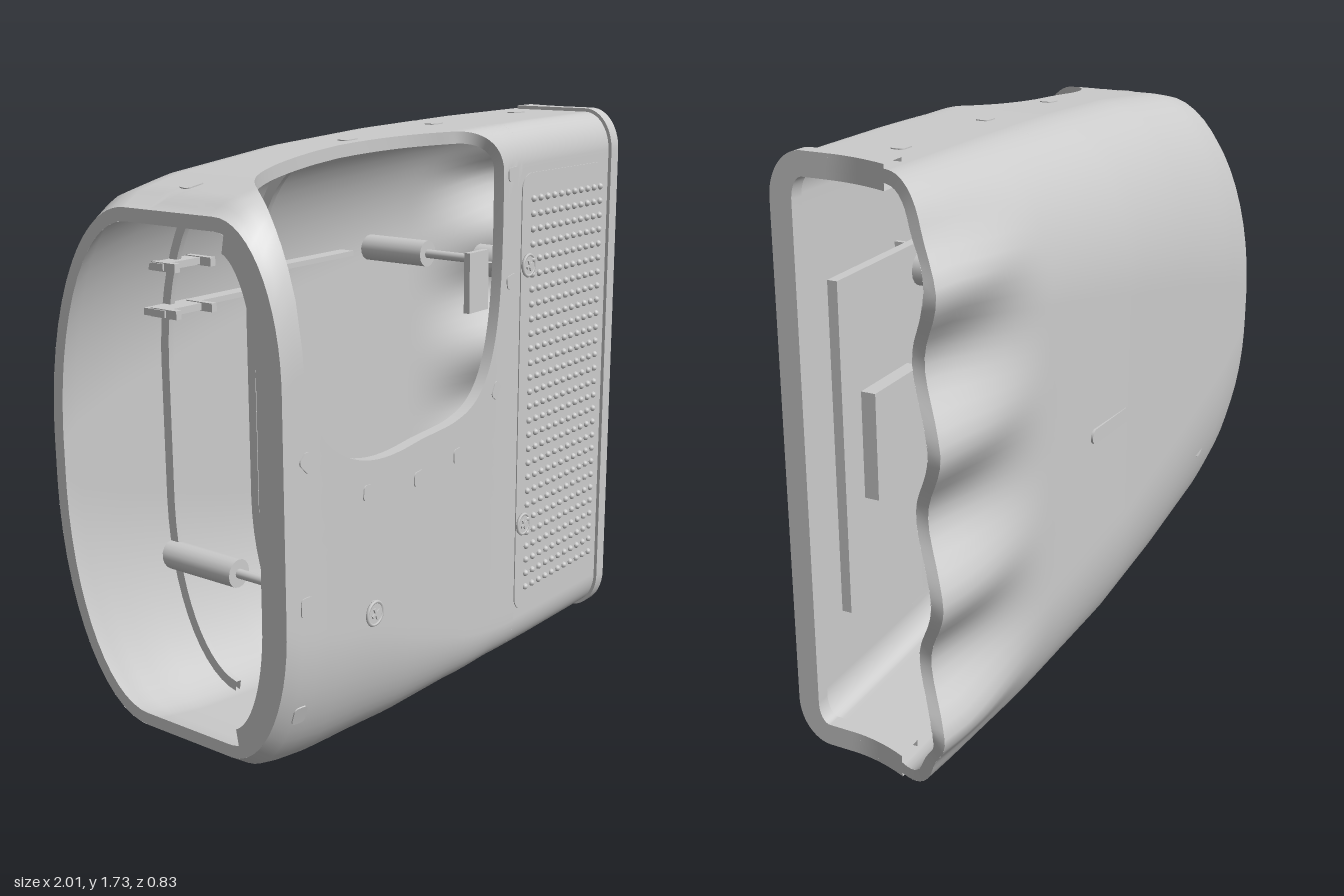
import * as THREE from 'three';

const mat = new THREE.MeshStandardMaterial({ color: 0xcccccc, roughness: 0.7, side: THREE.DoubleSide });
const { lerp, smoothstep, clamp } = THREE.MathUtils;
const YC = 0.868, ZS = -0.08, WALL = 0.035, XM = 0.25;

// Piecewise-linear profile lookup
const profile = pts => x => {
  for (let i = 1; i < pts.length; i++) {
    const [a, p] = pts[i - 1], [b, q] = pts[i];
    if (x <= b) return lerp(p, q, clamp((x - a) / (b - a), 0, 1));
  }
  return pts[pts.length - 1][1];
};
const halfHeight = profile([[-1, 0.70], [-0.95, 0.735], [-0.8, 0.768], [-0.4, 0.812], [0, 0.835], [0.4, 0.847], [0.8, 0.852]]);
const frontZ = profile([[-1, 0.4], [-0.9, 0.41], [-0.7, 0.39], [-0.4, 0.345], [-0.1, 0.295], [0.15, 0.27], [1, 0.268]]);
const backZ = profile([[-1, -0.415], [-0.8, -0.418], [0, -0.395], [0.5, -0.347], [0.8, -0.3], [1, -0.262]]);

// Shell point: v 0..1 runs over the front half, 1..2 over the back half; d is the inset
function section(x, v, d = 0) {
  v = ((v % 2) + 2) % 2;
  const back = v >= 1, w = back ? 2 - v : v, q = Math.min(w, 1 - w);
  const h = halfHeight(x) - d, t = smoothstep(x, -0.9, 0.25), k = clamp((x + 1) / 1.9, 0, 1);
  const depth = (back ? ZS - backZ(x) : frontZ(x) - ZS) - d;
  const rz = Math.max(0.01, back ? depth * 0.92 : lerp(0.2, 0.09, t) - d);
  const ry = Math.max(0.01, (back ? lerp(0.65, 0.34, k) : lerp(0.4, 0.12, t)) - d);
  let y = h, z = depth;
  if (q < 0.14) z = (depth - rz) * q / 0.14;
  else if (q < 0.32) {
    const a = (q - 0.14) / 0.18 * Math.PI / 2;
    z = depth - rz + rz * Math.sin(a);
    y = h - ry + ry * Math.cos(a);
  } else y = (h - ry) * (0.5 - q) / 0.18;
  if (w > 0.5) y = -y;
  // Finger scoops fade in towards the grip end
  const scoop = !back ? 0 : 0.045 * smoothstep(x, 0.45, 0.97) * smoothstep(z / depth, 0.4, 0.95)
    * Math.cos(2 * Math.PI * y / 0.41) * (1 - smoothstep(Math.abs(y), 0.6, 0.8));
  return new THREE.Vector3(x, YC + y, back ? ZS - z + scoop : ZS + z);
}
function normalAt(x, v, d = 0) {
  const dx = section(x + 0.03, v, d).sub(section(x - 0.03, v, d));
  const dv = section(x, v + 0.006, d).sub(section(x, v - 0.006, d));
  return dv.cross(dx).normalize();
}
// Grip end sweeps further out towards the back
const endX = v => 0.82 + 0.16 * Math.pow(Math.max(0, (0.1 - section(0.95, v).z) / 0.38), 1.9);

function addMesh(parent, name, geo, x = 0, y = 0, z = 0) {
  const m = new THREE.Mesh(geo, mat);
  m.name = name;
  m.position.set(x, y, z);
  parent.add(m);
  return m;
}
// Grid of shell points from f(s, t) -> [x, v, d]; side +1 outer skin, -1 inner skin, 0 edge strip
function sheet(parent, name, n, m, f, side = 0) {
  const pos = [], nor = [], idx = [], P = [], N = [];
  for (let i = 0; i <= n; i++) for (let j = 0; j <= m; j++) {
    const a = f(i / n, j / m), p = section(...a);
    P.push(p); pos.push(p.x, p.y, p.z);
    if (side) { const q = normalAt(...a).multiplyScalar(side); N.push(q); nor.push(q.x, q.y, q.z); }
  }
  const tri = (a, b, c) => {
    const fn = P[b].clone().sub(P[a]).cross(P[c].clone().sub(P[a]));
    if (side && fn.dot(N[a]) < 0) idx.push(a, c, b); else idx.push(a, b, c);
  };
  for (let i = 0; i < n; i++) for (let j = 0; j < m; j++) {
    const a = i * (m + 1) + j, b = a + m + 1;
    tri(a, b, b + 1); tri(a, b + 1, a + 1);
  }
  let g = new THREE.BufferGeometry();
  g.setAttribute('position', new THREE.Float32BufferAttribute(pos, 3));
  g.setIndex(idx);
  if (side) g.setAttribute('normal', new THREE.Float32BufferAttribute(nor, 3));
  else g.computeVertexNormals();
  return addMesh(parent, name, g);
}
// Open cross-section of [x, d] corners swept around the shell from v0 to v1
function band(parent, name, v0, v1, n, corners) {
  for (let k = 0; k < corners.length - 1; k++)
    sheet(parent, name, n, 1, (s, t) => {
      const v = lerp(v0, v1, s), [x, d] = corners[k + t];
      return [typeof x === 'function' ? x(v) : x, v, d];
    });
}

// Window: perimeter of the patch around it, and the matching point on its rounded edge
const V0 = 0.03, V1 = 0.58, NX = 24, NV = 28;
const perimeter = [];
for (let i = 0; i < NX; i++) perimeter.push([lerp(-1, XM, i / NX), V0]);
for (let i = 0; i < NV; i++) perimeter.push([XM, lerp(V0, V1, i / NV)]);
for (let i = 0; i < NX; i++) perimeter.push([lerp(XM, -1, i / NX), V1]);
for (let i = 0; i <= NV; i++) perimeter.push([-1, lerp(V1, V0, i / NV)]);
const windowEdge = ([x, v]) => {
  const a = Math.atan2((v - 0.29) / 0.27, (x + 0.39) / 0.62), pw = 2 / 2.7;
  const c = Math.sign(Math.cos(a)) * Math.abs(Math.cos(a)) ** pw;
  const s = Math.sign(Math.sin(a)) * Math.abs(Math.sin(a)) ** pw;
  return [-0.39 + 0.54 * c, 0.28 + 0.21 * s + 0.06 * Math.max(0, c) ** 2];
};

// Front-half v at a given x and height
function frontV(x, y) {
  let best = 0.5, err = 9;
  for (let v = 0.15; v < 0.85; v += 0.002) {
    const e = Math.abs(section(x, v).y - y);
    if (e < err) { err = e; best = v; }
  }
  return best;
}
// Rounded rectangle outline
function roundRect(w, h, r) {
  const s = new THREE.Shape(), c = [[1, 1], [-1, 1], [-1, -1], [1, -1]];
  c.forEach(([a, b], i) => s.absarc(a * (w / 2 - r), b * (h / 2 - r), r, i * Math.PI / 2, (i + 1) * Math.PI / 2, false));
  return s;
}
const plate = (w, h, r, depth) => new THREE.ExtrudeGeometry(roundRect(w, h, r), { depth, bevelEnabled: false, curveSegments: 6 });
const rod = (r, len, seg = 16) => new THREE.CylinderGeometry(r, r, len, seg).rotateX(Math.PI / 2);

export function createModel() {
  const root = new THREE.Group();
  root.name = 'gripHousing';
  const group = name => { const g = new THREE.Group(); g.name = name; root.add(g); return g; };

  // Hollow shell: outer and inner skins
  const shell = group('shell'), K = perimeter.length - 1;
  for (const [d, side, name] of [[0, 1, 'outerSkin'], [WALL, -1, 'innerSkin']]) {
    sheet(shell, name, NX, 110, (s, t) => [lerp(-1, XM, s), lerp(V1, 2 + V0, t), d], side);
    sheet(shell, name, 28, 160, (s, t) => { const v = lerp(V0, 2 + V0, t); return [lerp(XM, endX(v), s), v, d]; }, side);
    sheet(shell, name, K, 8, (s, t) => {
      const p = perimeter[Math.round(s * K)], q = windowEdge(p);
      return [lerp(p[0], q[0], t), lerp(p[1], q[1], t), d];
    }, side);
  }
  // Edges of the shell and window
  sheet(shell, 'windowRim', K, 1, (s, t) => [...windowEdge(perimeter[Math.round(s * K)]), t * WALL]);
  band(shell, 'openEndEdge', 0, 2, 160, [[-1, 0], [-1, WALL]]);
  band(shell, 'gripEndEdge', 0, 2, 160, [[endX, 0], [endX, WALL]]);
  band(shell, 'openEndFlange', 0.16, 0.84, 60, [[-1, 0.03], [-1, 0.08], [-0.94, 0.08], [-0.94, 0.03]]);
  band(shell, 'gripEndRim', -0.02, 1.02, 90, [[0.775, 0], [0.775, -0.011], [endX, -0.011], [endX, 0.055], [0.775, 0.055], [0.775, 0.03]]);

  // Stiffening ribs inside
  const ribs = group('ribs');
  for (const x of [-0.62, -0.27])
    band(ribs, 'backRib', 1.15, 1.85, 60, [[x - 0.009, 0.03], [x - 0.009, 0.065], [x + 0.009, 0.065], [x + 0.009, 0.03]]);
  for (const x of [-0.78, -0.5, -0.23])
    band(ribs, 'frontRib', 0.56, 0.86, 30, [[x - 0.008, 0.03], [x - 0.008, 0.09], [x + 0.008, 0.09], [x + 0.008, 0.03]]);
  addMesh(ribs, 'crossRib', new THREE.BoxGeometry(0.42, 0.016, 0.05), -0.06, 1.29, -0.32);
  addMesh(ribs, 'crossRib', new THREE.BoxGeometry(0.36, 0.016, 0.05), -0.44, 1.23, -0.34);
  for (const y of [1.23, 1.36]) {
    addMesh(ribs, 'ribClip', new THREE.BoxGeometry(0.17, 0.02, 0.08), -0.62, y, -0.32);
    for (const s of [-1, 1]) addMesh(ribs, 'clipTab', new THREE.BoxGeometry(0.02, 0.025, 0.1), -0.62 + s * 0.07, y, -0.29);
  }
  addMesh(ribs, 'cornerPlate', new THREE.BoxGeometry(0.1, 0.18, 0.02), 0.1, 1.26, 0.21);
  addMesh(ribs, 'speakerBacking', new THREE.BoxGeometry(0.44, 0.98, 0.03), 0.5, 0.88, 0.17);
  addMesh(ribs, 'speakerMagnet', new THREE.BoxGeometry(0.25, 0.32, 0.05), 0.5, 0.87, 0.135);

  // Screws with heads, posts and receiving bosses
  const screws = group('screws');
  for (const [x, y] of [[0.285, 1.29], [0.285, 0.46], [-0.63, 0.49]]) {
    const v = frontV(x, y), z = section(x, v).z, b = section(x, 2 - v).z;
    addMesh(screws, 'screwHead', rod(0.034, 0.02, 24), x, y, z);
    addMesh(screws, 'screwRing', new THREE.TorusGeometry(0.032, 0.005, 6, 24), x, y, z + 0.008);
    for (const r of [0, Math.PI / 2])
      addMesh(screws, 'screwCross', new THREE.BoxGeometry(0.034, 0.008, 0.006), x, y, z + 0.011).rotation.z = r + 0.4;
    addMesh(screws, 'frontPost', rod(0.05, 0.15), x, y, z - 0.095);
    addMesh(screws, 'screwShank', rod(0.014, 0.32), x, y, 0);
    addMesh(screws, 'backBoss', rod(0.042, -0.1 - b - 0.02), x, y, (b + 0.02 - 0.1) / 2);
    for (const r of [0, Math.PI / 2])
      addMesh(screws, 'postFin', new THREE.BoxGeometry(0.14, 0.014, 0.08), x, y, z - 0.07).rotation.z = r;
  }

  // Dotted grille panel
  const grille = group('grille');
  addMesh(grille, 'grillePanel', plate(0.495, 1.4, 0.05, 0.012), 0.497, 0.868, 0.261);
  const dots = new THREE.InstancedMesh(new THREE.SphereGeometry(0.011, 8, 4, 0, Math.PI * 2, 0, Math.PI / 2).rotateX(Math.PI / 2), mat, 11 * 28);
  dots.name = 'grilleDots';
  for (let i = 0; i < 11; i++) for (let j = 0; j < 28; j++)
    dots.setMatrixAt(i * 28 + j, new THREE.Matrix4().makeTranslation(0.31 + i * 0.0406, 0.24 + j * 0.0463, 0.273));
  grille.add(dots);

  // Small snap tabs lying on the surface
  const tabs = group('snapTabs');
  const tab = (x, v, w, h, spin, name) => {
    const n = normalAt(x, v), p = section(x, v).addScaledVector(n, -0.006);
    const m = addMesh(tabs, name, plate(w, h, Math.min(w, h) * 0.3, 0.009), p.x, p.y, p.z);
    m.quaternion.setFromUnitVectors(new THREE.Vector3(0, 0, 1), n);
    m.rotateZ(spin);
  };
  for (const [x, y, spin] of [[0.2, 1.57, 0], [0.2, 1.25, 0.2], [0.12, 0.93, 1], [-0.12, 0.79, 0], [-0.37, 0.79, 0],
    [-0.65, 0.83, -0.2], [-0.92, 0.98, -0.8], [-0.93, 0.61, 1.57], [-0.93, 0.31, 1.57]])
    tab(x, frontV(x, y), 0.052, 0.042, spin, 'frontTab');
  for (const x of [-0.88, -0.25, 0.17, 0.63]) for (const v of [0.045, 0.955]) tab(x, v, 0.055, 0.04, 0, 'edgeTab');

  // Long slim mark on the back
  const p = section(0.14, 1.5);
  const pill = addMesh(root, 'backPill', plate(0.23, 0.045, 0.0224, 0.01), p.x, p.y - 0.02, p.z + 0.006);
  pill.rotation.y = Math.PI - 0.07;
  return root;
}
